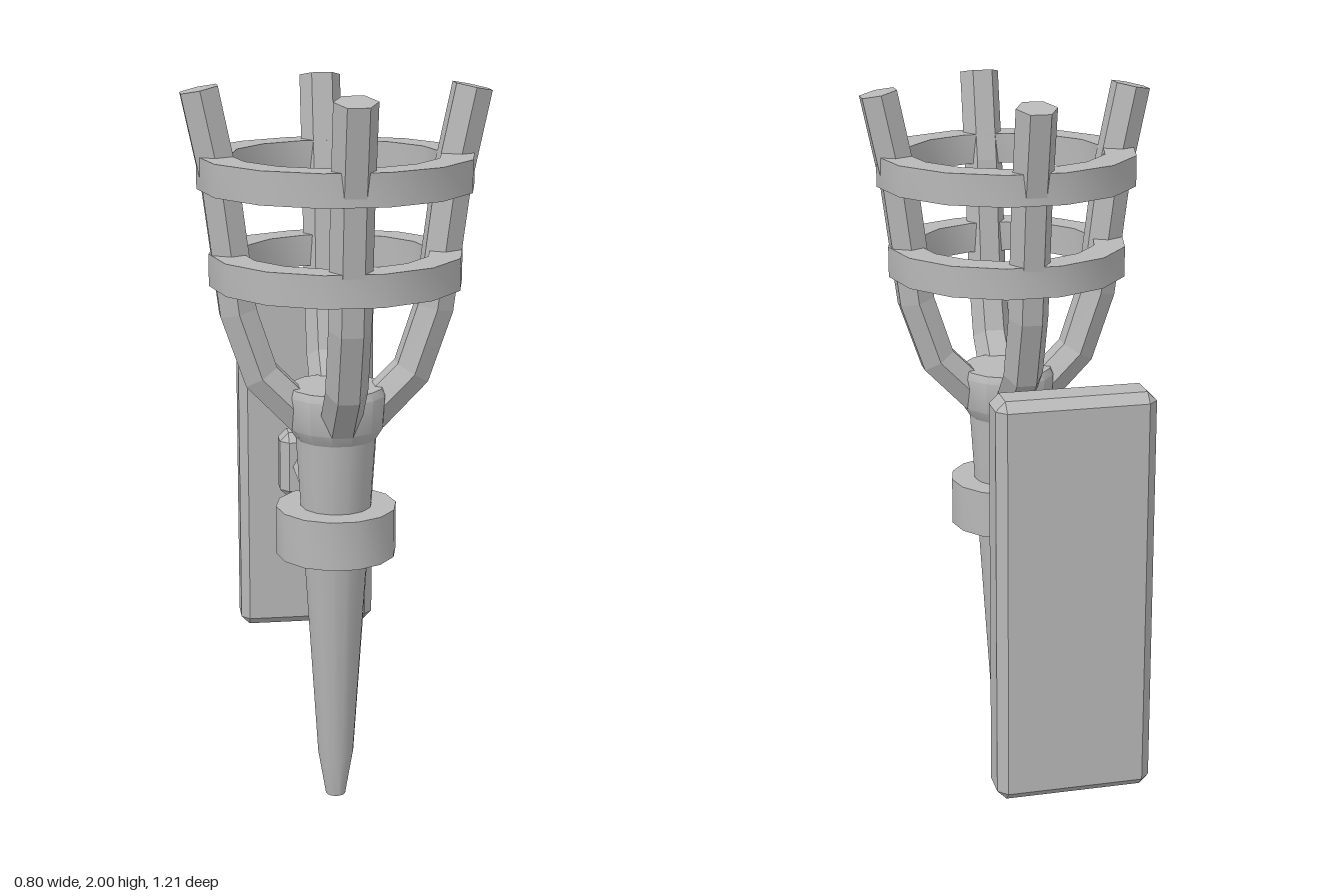
import * as THREE from 'three';
import { toCreasedNormals } from 'three/addons/utils/BufferGeometryUtils.js';
import { ConvexGeometry } from 'three/addons/geometries/ConvexGeometry.js';

const SIDES = 14;
const AXIS_Z = 0.2; // the torch stands in front of its wall plate

// Turned part from [radius, y] pairs, with a corner on the x axis
function turned(profile) {
  const points = profile.map(([r, y]) => new THREE.Vector2(r, y));
  return toCreasedNormals(new THREE.LatheGeometry(points, SIDES, Math.PI / 2), 0.6);
}

// Box with every edge chamfered
function chamferedBox(w, h, d, c) {
  const points = [];
  for (const x of [-1, 1]) for (const y of [-1, 1]) for (const z of [-1, 1]) {
    const [a, b, e] = [w / 2, h / 2, d / 2];
    points.push(
      new THREE.Vector3(x * a, y * (b - c), z * (e - c)),
      new THREE.Vector3(x * (a - c), y * b, z * (e - c)),
      new THREE.Vector3(x * (a - c), y * (b - c), z * e));
  }
  return new ConvexGeometry(points);
}

// Hexagonal bar swept upwards along a mitred [z, y] path
function hexBar(path, radius) {
  const pts = path.map(([z, y]) => new THREE.Vector2(z, y));
  const positions = [], index = [], last = pts.length - 1;
  pts.forEach((p, i) => {
    const before = p.clone().sub(pts[Math.max(i - 1, 0)]).normalize();
    const after = pts[Math.min(i + 1, last)].clone().sub(p).normalize();
    const t = before.add(after).normalize();
    for (let k = 0; k < 6; k++) {
      const a = k * Math.PI / 3, s = radius * Math.sin(a);
      positions.push(radius * Math.cos(a), p.y - t.x * s, p.x + t.y * s);
    }
  });
  for (let i = 0; i < last; i++) {
    for (let k = 0; k < 6; k++) {
      const a = i * 6 + k, b = i * 6 + (k + 1) % 6;
      index.push(a, a + 6, b, b, a + 6, b + 6);
    }
  }
  // End caps
  const top = last * 6;
  for (let k = 1; k < 5; k++) index.push(0, k, k + 1, top, top + k + 1, top + k);
  const indexed = new THREE.BufferGeometry();
  indexed.setAttribute('position', new THREE.Float32BufferAttribute(positions, 3));
  indexed.setIndex(index);
  const geometry = indexed.toNonIndexed();
  geometry.computeVertexNormals();
  return geometry;
}

export function createModel() {
  const model = new THREE.Group();
  model.name = 'wallTorch';
  const iron = new THREE.MeshStandardMaterial({ color: 0xb8b8b8 });
  iron.name = 'grey iron';

  const add = (parent, name, geometry, x = 0, y = 0, z = 0) => {
    const mesh = new THREE.Mesh(geometry, iron);
    mesh.name = name;
    mesh.position.set(x, y, z);
    parent.add(mesh);
    return mesh;
  };

  const torch = new THREE.Group();
  torch.name = 'torch';
  torch.position.z = AXIS_Z;
  model.add(torch);

  // Tapered handle, holding collar and cup
  add(torch, 'handle', turned([[0, 0], [0.028, 0], [0.05, 0.13], [0.11, 1.06], [0, 1.06]]));
  add(torch, 'collar', turned([[0, 0.73], [0.165, 0.73], [0.165, 0.865], [0, 0.865]]));
  add(torch, 'cup', turned([[0, 1.05], [0.105, 1.05], [0.13, 1.09], [0.136, 1.18], [0.127, 1.2], [0, 1.2]]));

  // Basket hoops
  const hoop = (inner, outer, y0, y1) =>
    turned([[inner, y0], [outer, y0], [outer, y1], [inner, y1], [inner, y0]]);
  add(torch, 'lowerHoop', hoop(0.25, 0.337, 1.48, 1.565));
  add(torch, 'upperHoop', hoop(0.277, 0.365, 1.735, 1.82));

  // Four flaring prongs
  const prong = hexBar([[0.09, 1.12], [0.203, 1.235], [0.262, 1.41], [0.303, 1.74], [0.355, 1.99]], 0.056);
  ['front', 'left', 'back', 'right'].forEach((side, i) => {
    add(torch, side + 'Prong', prong).rotation.y = i * Math.PI / 2;
  });

  // Bracket arm, boss and wall plate
  const arm = new THREE.CylinderGeometry(0.055, 0.055, 0.47, 6).rotateX(Math.PI / 2);
  arm.rotateZ(Math.PI / 2 * (arm.boundingBox ? 0 : 1));
  arm.rotateZ(Math.PI / 2);
  // Corners to the sides, flats above and below
  arm.rotateZ(Math.PI / 2);
  add(model, 'arm', toCreasedNormals(arm, 0.6), 0, 0.797, -0.165);
  add(model, 'boss', chamferedBox(0.184, 0.205, 0.105, 0.026), 0, 0.795, -0.43);
  add(model, 'wallPlate', chamferedBox(0.414, 1.1, 0.125, 0.025), 0, 0.795, -0.5425);

  return model;
}
